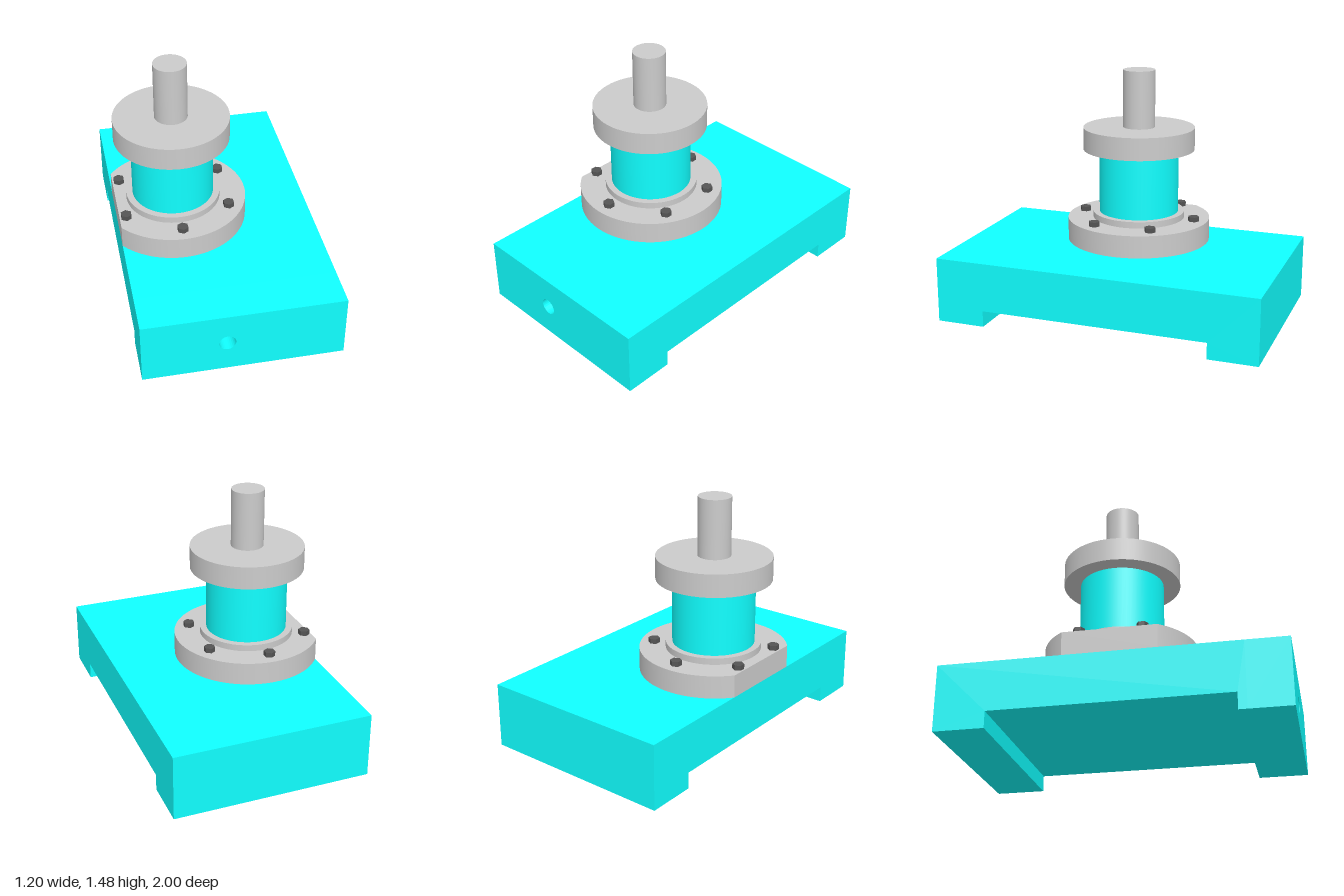
import * as THREE from 'three';
import { toCreasedNormals } from 'three/addons/utils/BufferGeometryUtils.js';

export function createModel() {
  const group = new THREE.Group();
  const cyan = new THREE.MeshStandardMaterial({ color: 0x10ffff });
  const grey = new THREE.MeshStandardMaterial({ color: 0xcccccc });
  const dark = new THREE.MeshStandardMaterial({ color: 0x555555 });
  const AXIS = -0.243; // x of the spindle axis

  const add = (name, geometry, material, x = 0, y = 0, z = 0) => {
    const mesh = new THREE.Mesh(geometry, material);
    mesh.name = name;
    mesh.position.set(x, y, z);
    group.add(mesh);
    return mesh;
  };
  const extrude = (shape, depth) => toCreasedNormals(
    new THREE.ExtrudeGeometry(shape, { depth, bevelEnabled: false, curveSegments: 64 }), 0.5);
  // upright cylinder on the spindle axis, from y0 to y1
  const disc = (name, r, y0, y1, material) =>
    add(name, new THREE.CylinderGeometry(r, r, y1 - y0, 64), material, AXIS, (y0 + y1) / 2);

  // Base: side profile with the channel underneath, run across x
  const split = 0.75; // depth at which the front bore ends
  const profile = new THREE.Shape([
    [-split, 0], [-0.7, 0], [-0.7, 0.1], [0.7, 0.1],
    [0.7, 0], [1, 0], [1, 0.4], [-split, 0.4],
  ].map(([x, y]) => new THREE.Vector2(x, y)));
  add('baseBody', extrude(profile, 1.2).rotateY(Math.PI / 2), cyan, -0.6);

  // Front end of the base with its blind bore
  const front = new THREE.Shape([
    [-0.6, 0], [0.6, 0], [0.6, 0.4], [-0.6, 0.4],
  ].map(([x, y]) => new THREE.Vector2(x, y)));
  const bore = new THREE.Path();
  bore.absarc(-0.1, 0.2, 0.05, 0, Math.PI * 2, true);
  front.holes.push(bore);
  add('baseFrontEnd', extrude(front, 1 - split), cyan, 0, 0, split);

  // Lower flange, cut flat flush with the base side
  const cut = Math.acos((-0.6 - AXIS) / 0.45);
  const flange = new THREE.Shape();
  flange.absarc(0, 0, 0.45, -cut, cut, false);
  flange.closePath();
  add('lowerFlange', extrude(flange, 0.14).rotateX(-Math.PI / 2), grey, AXIS, 0.4);

  // Spindle stack
  disc('collar', 0.29, 0.54, 0.58, grey);
  disc('column', 0.25, 0.58, 0.98, cyan);
  disc('upperFlange', 0.35, 0.98, 1.12, grey);
  disc('shaft', 0.1, 1.12, 1.48, grey);

  // Ring of hexagonal bolt heads
  const bolt = toCreasedNormals(new THREE.CylinderGeometry(0.035, 0.035, 0.03, 6), 0.5);
  for (let i = 0; i < 6; i++) {
    const a = (i * Math.PI) / 3;
    add('boltHead', bolt, dark, AXIS + 0.365 * Math.sin(a), 0.555, 0.365 * Math.cos(a));
  }
  return group;
}
